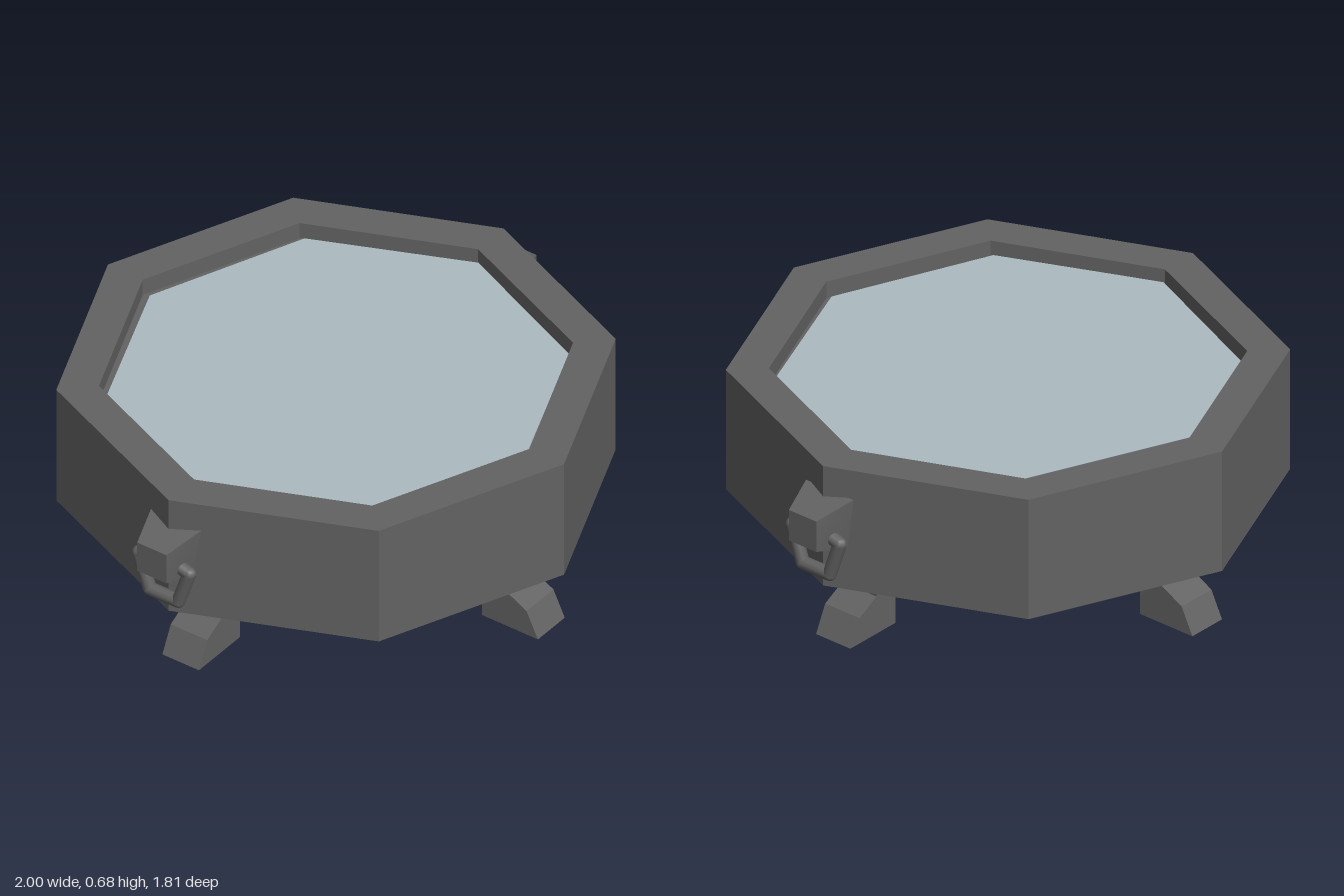
import * as THREE from 'three';

export function createModel() {
  const iron = new THREE.MeshStandardMaterial({ color: 0x626262 });
  iron.name = 'dark iron';
  const water = new THREE.MeshStandardMaterial({ color: 0xacbbc2 });
  water.name = 'pale water';

  const model = new THREE.Group();
  model.name = 'octagonalBasin';

  const add = (parent, geometry, material, name) => {
    const mesh = new THREE.Mesh(geometry, material);
    mesh.name = name;
    parent.add(mesh);
    return mesh;
  };
  const faceted = (geometry) => {
    const g = geometry.index ? geometry.toNonIndexed() : geometry;
    g.computeVertexNormals();
    return g;
  };

  // Eight-sided basin with a shallow recess in its top
  const profile = [[0, 0.235], [0.905, 0.235], [0.905, 0.675], [0.767, 0.675], [0.767, 0.615], [0, 0.615]]
    .map(([r, y]) => new THREE.Vector2(r, y));
  const basin = add(model, faceted(new THREE.LatheGeometry(profile, 8)), iron, 'basin');
  basin.position.x = -0.005;

  // Flat surface lying in the recess
  const surface = add(model, faceted(new THREE.CylinderGeometry(0.764, 0.764, 0.009, 8)), water, 'waterSurface');
  surface.position.set(-0.007, 0.622, 0.005);
  surface.scale.z = 0.972;

  // Four paw-shaped feet
  const footShape = new THREE.Shape([
    [0.627, 0], [0.848, 0], [0.803, 0.093], [0.72, 0.137], [0.726, 0.185], [0.755, 0.24], [0.627, 0.24],
  ].map(([r, y]) => new THREE.Vector2(r, y)));
  const footGeometry = new THREE.ExtrudeGeometry(footShape, { depth: 0.145, bevelEnabled: false });
  footGeometry.translate(0, 0, -0.0725);
  const feet = new THREE.Group();
  feet.name = 'feet';
  feet.position.set(-0.007, 0, 0.008);
  for (let i = 0; i < 4; i++) {
    add(feet, footGeometry, iron, 'foot').rotation.y = i * Math.PI / 2;
  }
  model.add(feet);

  // Tapered handle mount: wide against the wall, small at the outer end
  const mountGeometry = new THREE.BoxGeometry(1, 1, 1);
  const p = mountGeometry.attributes.position;
  for (let i = 0; i < p.count; i++) {
    const outer = p.getX(i) > 0, top = p.getY(i) > 0, side = Math.sign(p.getZ(i));
    if (outer) p.setXYZ(i, 1, top ? 0.535 : 0.423, side * 0.058);
    else p.setXYZ(i, 0.867, top ? 0.573 : 0.387, side * (top ? 0.1 : 0.075));
  }
  mountGeometry.computeVertexNormals();

  // Hanging ring made of straight bars with rounded corners
  const ringPath = [[-0.05, 0.455], [-0.1, 0.44], [-0.057, 0.313], [0.057, 0.313], [0.1, 0.44], [0.05, 0.455]]
    .map(([z, y]) => new THREE.Vector3(0.933, y, z));
  const ringRadius = 0.023;
  const up = new THREE.Vector3(0, 1, 0);

  for (const turn of [0, Math.PI]) {
    const handle = new THREE.Group();
    handle.name = turn ? 'rightHandle' : 'leftHandle';
    handle.rotation.y = turn;
    add(handle, mountGeometry, iron, 'handleMount');
    for (let i = 0; i < ringPath.length - 1; i++) {
      const a = ringPath[i], b = ringPath[i + 1];
      const dir = b.clone().sub(a);
      const bar = add(handle, new THREE.CylinderGeometry(ringRadius, ringRadius, dir.length(), 10), iron, 'ringBar');
      bar.position.copy(a).add(b).multiplyScalar(0.5);
      bar.quaternion.setFromUnitVectors(up, dir.normalize());
      if (i > 0) {
        add(handle, new THREE.SphereGeometry(ringRadius, 10, 8), iron, 'ringCorner').position.copy(a);
      }
    }
    model.add(handle);
  }

  return model;
}
